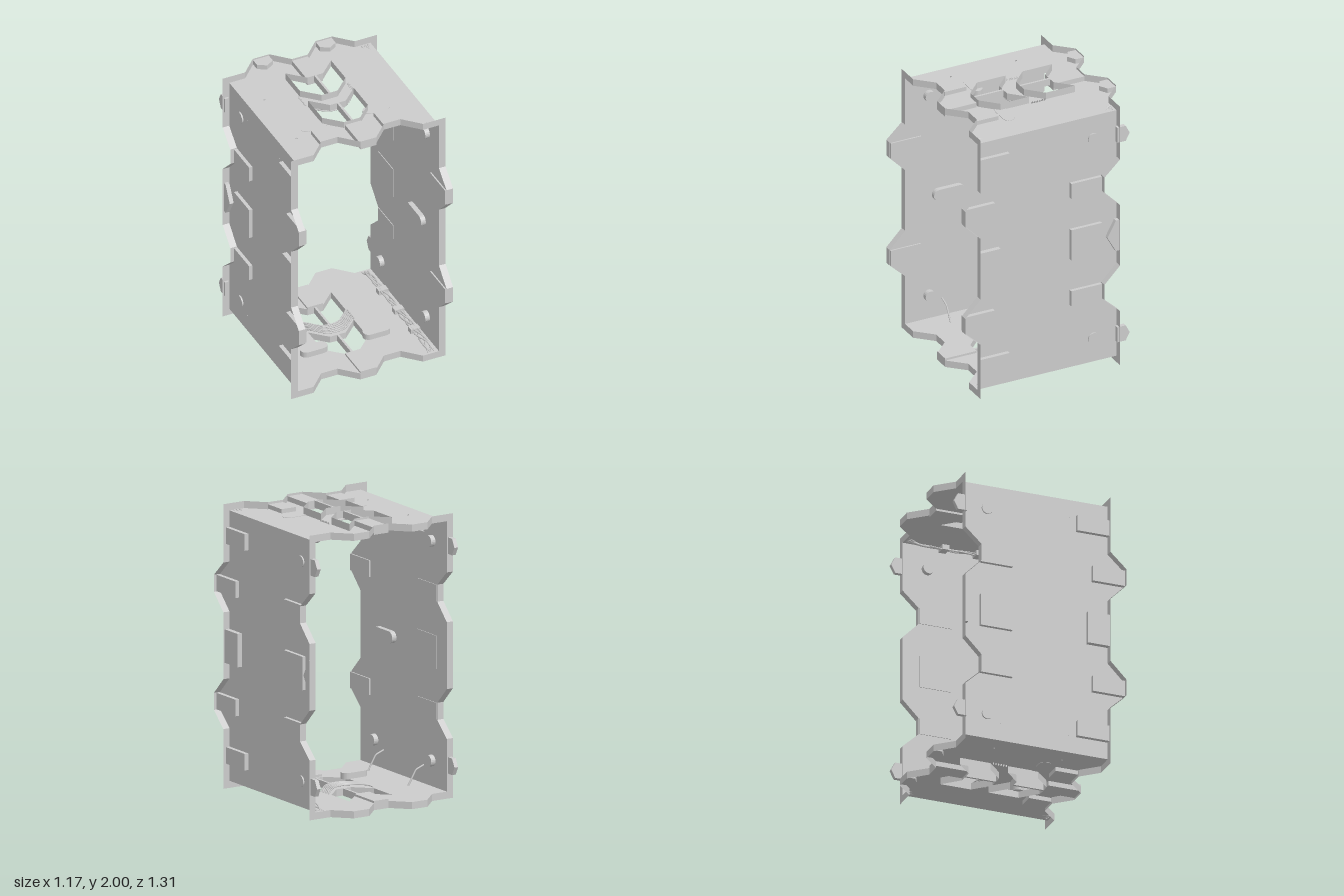
import * as THREE from 'three';

const mat = new THREE.MeshStandardMaterial({ color: 0xcccccc, side: THREE.DoubleSide, flatShading: true });
const smooth = new THREE.MeshStandardMaterial({ color: 0xcccccc, side: THREE.DoubleSide });
const E = 0.535; // half depth and half width of the sheet
const RIM = 0.05; // rim height

// Every panel is drawn flat in (u, v); w points out of the frame.
function add(parent, name, geometry, material = mat) {
  const mesh = new THREE.Mesh(geometry, material);
  mesh.name = name;
  parent.add(mesh);
  return mesh;
}

const toShape = pts => new THREE.Shape(pts.map(p => new THREE.Vector2(p[0], p[1])));

// Block between two corners and two heights
function block(parent, name, u0, u1, v0, v1, w0, w1) {
  add(parent, name, new THREE.BoxGeometry(u1 - u0, v1 - v0, w1 - w0))
    .position.set((u0 + u1) / 2, (v0 + v1) / 2, (w0 + w1) / 2);
}

// Flat outline given thickness
function prism(parent, name, shape, w0, w1) {
  const g = new THREE.ExtrudeGeometry(shape, { depth: w1 - w0, bevelEnabled: false, curveSegments: 6 });
  add(parent, name, g.translate(0, 0, w0));
}

// Thin upright ribbon along a path
function ribbon(parent, name, pts, closed = false) {
  const path = closed ? [...pts, pts[0]] : pts;
  const pos = [];
  for (let i = 0; i + 1 < path.length; i++) {
    const [a, b] = path[i], [c, d] = path[i + 1];
    pos.push(a, b, 0, c, d, 0, c, d, RIM, a, b, 0, c, d, RIM, a, b, RIM);
  }
  const g = new THREE.BufferGeometry();
  g.setAttribute('position', new THREE.Float32BufferAttribute(pos, 3));
  g.computeVertexNormals();
  add(parent, name, g);
}

// Stadium-shaped lug, long in u
function lug(parent, name, u, v, half, r, w0, w1) {
  const s = new THREE.Shape();
  s.absarc(u + half - r, v, r, -Math.PI / 2, Math.PI / 2, false);
  s.absarc(u - half + r, v, r, Math.PI / 2, Math.PI * 1.5, false);
  prism(parent, name, s, w0, w1);
}

function tube(parent, name, pts, r, straight) {
  const v = pts.map(p => new THREE.Vector3(...p));
  let curve;
  if (straight) {
    curve = new THREE.CurvePath();
    for (let i = 0; i + 1 < v.length; i++) curve.add(new THREE.LineCurve3(v[i], v[i + 1]));
  } else curve = new THREE.CatmullRomCurve3(v);
  add(parent, name, new THREE.TubeGeometry(curve, straight ? 16 : 40, r, 6), smooth);
}

// Side panel: u = -z, v = y, w = outward
function makeSide() {
  const side = new THREE.Group();
  const zig = [[0.42, 0], [0.53, 0.118], [0.65, 0.118], [0.77, 0], [1.24, 0], [1.36, 0.118], [1.48, 0.118], [1.59, 0]];
  const edge = (z, lo, hi) => [[lo, 0], ...zig, [hi, 0]].map(([v, o]) => [-(z + o), v]);
  add(side, 'sideSheet', new THREE.ShapeGeometry(toShape([...edge(-E, 0.05, 1.95), ...edge(E, 0.05, 1.95).reverse()])));
  ribbon(side, 'sideFrontRim', edge(E, 0, 2));
  ribbon(side, 'sideBackRim', edge(-E, 0, 2));

  // Raised pads
  for (const v of [0.59, 1.42]) {
    block(side, 'frontTabPad', -0.65, -0.415, v - 0.058, v + 0.058, -0.01, 0.03);
    block(side, 'backPad', 0.175, 0.41, v - 0.058, v + 0.058, -0.005, 0.025);
  }
  block(side, 'frontMiddlePad', -E, -0.375, 0.885, 1.12, 0.005, 0.04);
  block(side, 'backMiddlePad', 0.175, 0.41, 0.885, 1.12, -0.005, 0.025);
  prism(side, 'backMiddleCatch', toShape([[0.445, 1], [0.51, 0.885], [E, 0.885], [E, 1.12], [0.51, 1.12]]), 0.01, 0.04);

  for (const v of [0.233, 1.777]) {
    block(side, 'frontPad', -E, -0.3, v - 0.058, v + 0.058, 0, 0.03);
    prism(side, 'backClip', toShape([[E - 0.015, v - 0.058], [0.585, v - 0.058], [0.615, v], [0.585, v + 0.058], [E - 0.015, v + 0.058]]), 0.01, 0.04);
    // Round pegs through the sheet
    for (const u of [-0.355, 0.355])
      add(side, 'peg', new THREE.CylinderGeometry(0.04, 0.04, 0.045, 20).rotateX(Math.PI / 2)).position.set(u, v, -0.0125);
  }
  lug(side, 'innerLug', -0.21, 1, 0.12, 0.042, -0.035, 0);
  return side;
}

// End panel: u = x, v = -z, w = outward
function makeEnd() {
  const end = new THREE.Group();
  const half = [[0.06, 0], [0.175, -0.118], [0.3, -0.118], [0.415, 0], [E, 0]];
  const zig = [...half.map(([x, o]) => [-x, o]).reverse(), ...half];
  const edge = z => zig.map(([x, o]) => [x, -(z + o)]);
  const sheet = toShape([...edge(E), ...edge(-E).reverse()]);

  // Two chevron windows, each with a rim and a centre bar
  for (const [z, len] of [[-0.405, 0.225], [-0.05, 0.22]]) {
    const top = [[-0.173, z], [-0.06, z + 0.11], [0.06, z + 0.11], [0.173, z]];
    const hole = [...top, ...top.map(([x, q]) => [x, q + len]).reverse()].map(([x, q]) => [x, -q]);
    sheet.holes.push(new THREE.Path(hole.map(p => new THREE.Vector2(...p))));
    ribbon(end, 'windowRim', hole, true);
    block(end, 'windowBar', -0.008, 0.008, -(z + 0.11 + len), -(z + 0.11), 0, RIM);
  }
  add(end, 'endSheet', new THREE.ShapeGeometry(sheet));
  ribbon(end, 'endFrontRim', edge(E));
  ribbon(end, 'endBackRim', edge(-E));

  // Raised pads, clips and inner lugs
  block(end, 'backCentrePad', -0.06, 0.06, 0.295, E, -0.015, 0.035);
  block(end, 'frontCentrePad', -0.06, 0.06, -E, -0.295, -0.015, 0.035);
  for (const x of [-0.238, 0.238]) {
    block(end, 'frontPad', x - 0.06, x + 0.06, -0.415, -0.25, 0.005, 0.035);
    prism(end, 'backClip', toShape([[x - 0.06, 0.652], [x - 0.06, 0.59], [x, 0.555], [x + 0.06, 0.59], [x + 0.06, 0.652]]), 0.005, 0.04);
    lug(end, 'innerLug', x, -0.17, 0.1, 0.042, -0.042, 0.003);
  }

  // Bent wires into the corner
  for (const v of [-0.25, 0.25])
    tube(end, 'cornerWire', [[-0.405, v, 0.005], [-0.47, v, -0.105], [-E, v, -0.13]], 0.006, true);

  // Strands under the chevron strip
  for (let i = 0; i < 6; i++) {
    const v = 0.165 - i * 0.019;
    tube(end, 'chevronStrand', [[-0.19, v, 0.012], [-0.17, v - 0.01, -0.012], [-0.06, v - 0.105, -0.016],
      [0.06, v - 0.105, -0.016], [0.17, v - 0.01, -0.012], [0.19, v, 0.012]], 0.005, false);
  }

  // Wavy cable bundle with clamps along one corner
  for (let i = 0; i < 4; i++) {
    const pts = [];
    for (let k = 0; k <= 12; k++) {
      const onEnd = k === 0 || k === 12;
      pts.push([0.485 + 0.024 * Math.sin(k * 1.3 + i * 1.6), -0.52 + k * 1.04 / 12,
        onEnd ? 0.003 : -0.02 + 0.012 * Math.cos(k * 1.1 + i * 1.9)]);
    }
    tube(end, 'cable', pts, 0.006, false);
  }
  for (const v of [-0.25, 0, 0.25]) block(end, 'cableClamp', 0.45, 0.52, v - 0.025, v + 0.025, -0.036, 0);
  return end;
}

export function createModel() {
  const model = new THREE.Group();
  model.name = 'frame';

  // Mirrored side panels
  for (const s of [1, -1]) {
    const holder = new THREE.Group();
    holder.name = s > 0 ? 'leftSide' : 'rightSide';
    const side = makeSide();
    side.rotation.y = Math.PI / 2;
    side.position.x = E;
    holder.add(side);
    holder.scale.x = s;
    model.add(holder);
  }

  // Mirrored top and bottom panels
  for (const s of [1, -1]) {
    const holder = new THREE.Group();
    holder.name = s > 0 ? 'topPanel' : 'bottomPanel';
    const end = makeEnd();
    end.rotation.x = -Math.PI / 2;
    end.position.y = 0.95;
    holder.add(end);
    holder.scale.y = s;
    holder.position.y = 1;
    model.add(holder);
  }
  return model;
}
